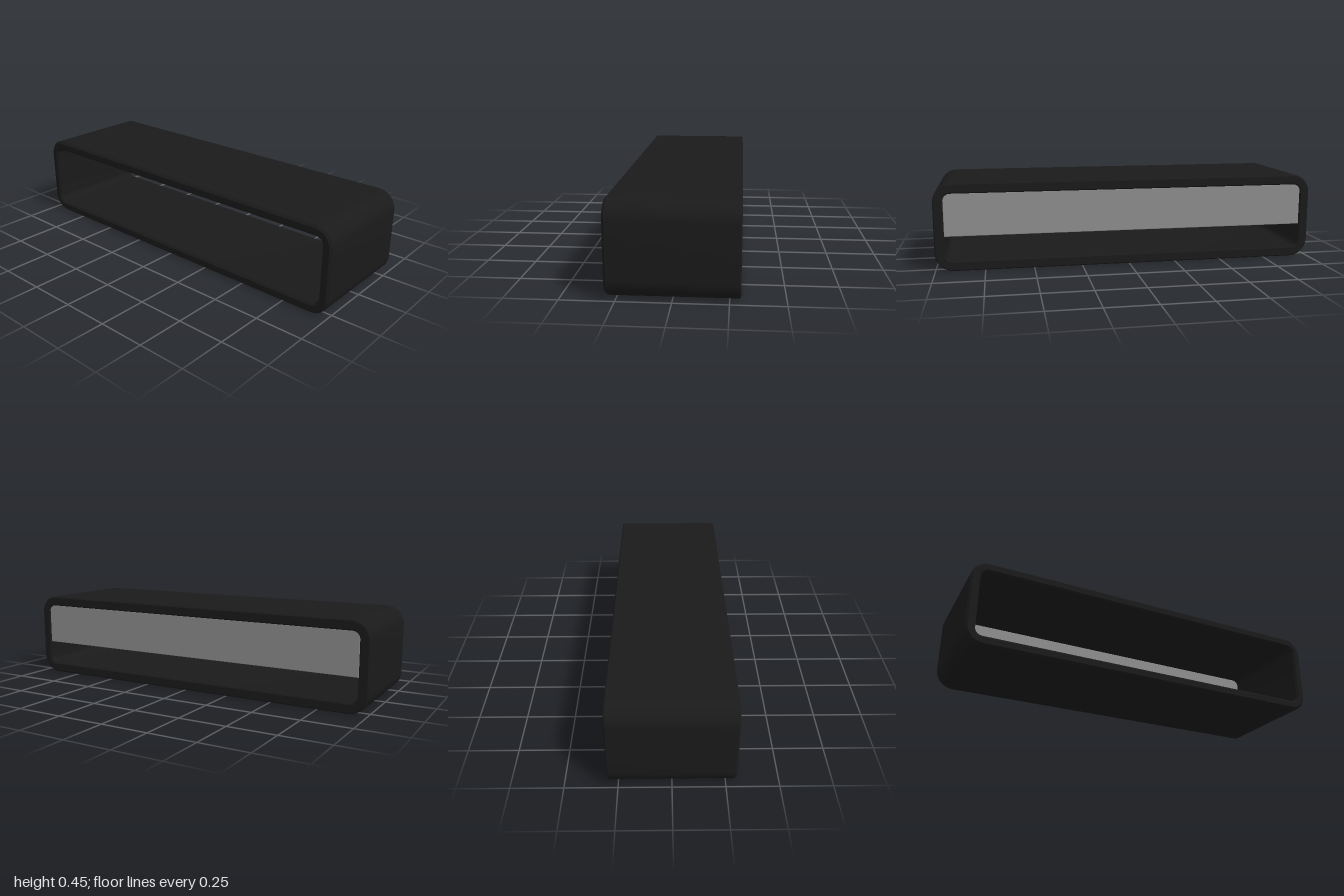
import * as THREE from 'three';
import { toCreasedNormals } from 'three/addons/utils/BufferGeometryUtils.js';
import { RoundedBoxGeometry } from 'three/addons/geometries/RoundedBoxGeometry.js';

const CORNER_STEPS = 10;
const MID_Y = 0.225;

// Rounded rectangle in the z-y plane, as [z, y] points
function roundedLoop(halfZ, halfY, radius) {
  const points = [];
  const corners = [[1, 1], [-1, 1], [-1, -1], [1, -1]];
  corners.forEach(([sz, sy], c) => {
    for (let k = 0; k <= CORNER_STEPS; k++) {
      const t = (c + k / CORNER_STEPS) * Math.PI / 2;
      points.push([
        sz * (halfZ - radius) + radius * Math.cos(t),
        MID_Y + sy * (halfY - radius) + radius * Math.sin(t),
      ]);
    }
  });
  return points;
}

// Open tube: outer skin, chamfered rims and inner skin as a closed chain of loops
function frameGeometry() {
  const outer = (x, inset) => ({ x, loop: roundedLoop(1 - inset, 0.225 - inset, 0.095 - inset) });
  const inner = (x, grow) => ({ x, loop: roundedLoop(0.95 + grow, 0.173 + grow, 0.038 + grow) });
  const stations = [
    outer(-0.3, 0.011), outer(-0.289, 0), outer(0.294, 0), outer(0.3, 0.006),
    inner(0.3, 0.006), inner(0.294, 0), inner(-0.289, 0), inner(-0.3, 0.011),
  ];
  const n = stations[0].loop.length;
  const positions = [];
  const index = [];
  stations.forEach(({ x, loop }, i) => {
    const next = (i + 1) % stations.length;
    loop.forEach(([z, y], j) => {
      positions.push(x, y, z);
      const k = (j + 1) % n;
      const a = i * n + j, b = i * n + k, c = next * n + j, d = next * n + k;
      index.push(a, c, b, b, c, d);
    });
  });
  const geometry = new THREE.BufferGeometry();
  geometry.setAttribute('position', new THREE.Float32BufferAttribute(positions, 3));
  geometry.setIndex(index);
  return toCreasedNormals(geometry, 0.5);
}

export function createModel() {
  const group = new THREE.Group();
  group.name = 'openSleeve';

  // Dark rounded sleeve, open at both sides
  const frame = new THREE.Mesh(frameGeometry(), new THREE.MeshStandardMaterial({ color: 0x1a1a1a }));
  frame.name = 'frame';
  group.add(frame);

  // Grey panel closing the upper part of the left opening
  const panel = new THREE.Mesh(
    new RoundedBoxGeometry(0.026, 0.222, 1.9, 2, 0.004),
    new THREE.MeshStandardMaterial({ color: 0x8f8f8f }),
  );
  panel.name = 'panel';
  panel.position.set(0.28, 0.289, 0);
  group.add(panel);

  return group;
}
